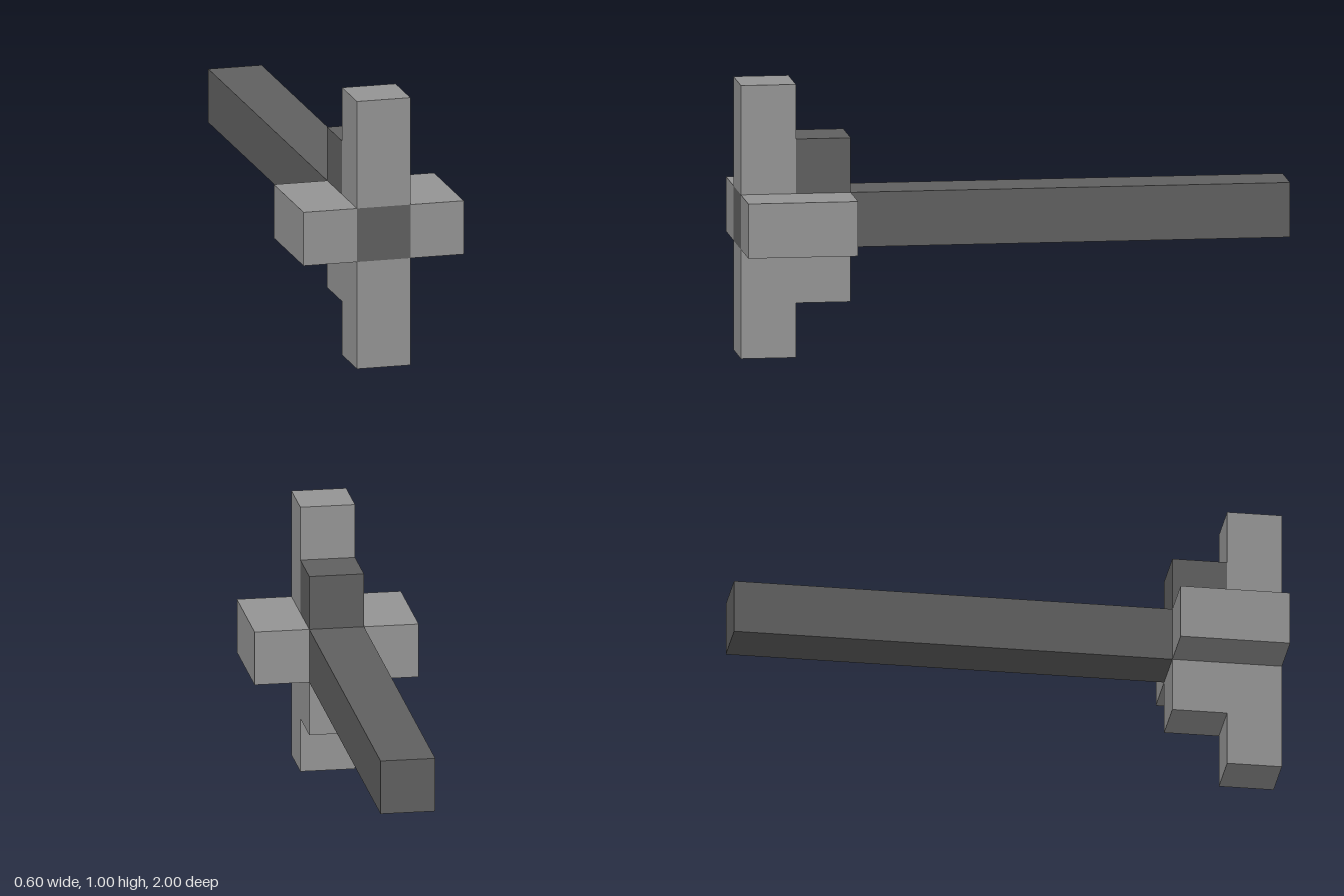
import * as THREE from 'three';

export function createModel() {
  const model = new THREE.Group();
  model.name = 'hammer';

  const lightGrey = new THREE.MeshStandardMaterial({ color: 0x949494 });
  lightGrey.name = 'light grey';
  const darkGrey = new THREE.MeshStandardMaterial({ color: 0x5f5f5f });
  darkGrey.name = 'dark grey';

  // Box given by its extents on each axis
  function block(name, material, [x0, x1], [y0, y1], [z0, z1]) {
    const mesh = new THREE.Mesh(new THREE.BoxGeometry(x1 - x0, y1 - y0, z1 - z0), material);
    mesh.position.set((x0 + x1) / 2, (y0 + y1) / 2, (z0 + z1) / 2);
    mesh.name = name;
    model.add(mesh);
  }

  const core = [-0.1, 0.1];

  // Long shaft running through to the front of the head
  block('shaft', darkGrey, core, [0.4, 0.6], [-1, 1]);

  // Upright posts of the head
  block('upperPost', lightGrey, core, [0.6, 1], [0.8, 1]);
  block('lowerPost', lightGrey, core, [0, 0.4], [0.8, 1]);

  // Stepped braces behind the posts
  block('upperBrace', darkGrey, core, [0.6, 0.8], [0.6, 0.8]);
  block('lowerBrace', lightGrey, core, [0.2, 0.4], [0.6, 0.8]);

  // Side arms
  block('leftArm', lightGrey, [0.1, 0.3], [0.4, 0.6], [0.6, 1]);
  block('rightArm', lightGrey, [-0.3, -0.1], [0.4, 0.6], [0.6, 1]);

  return model;
}
